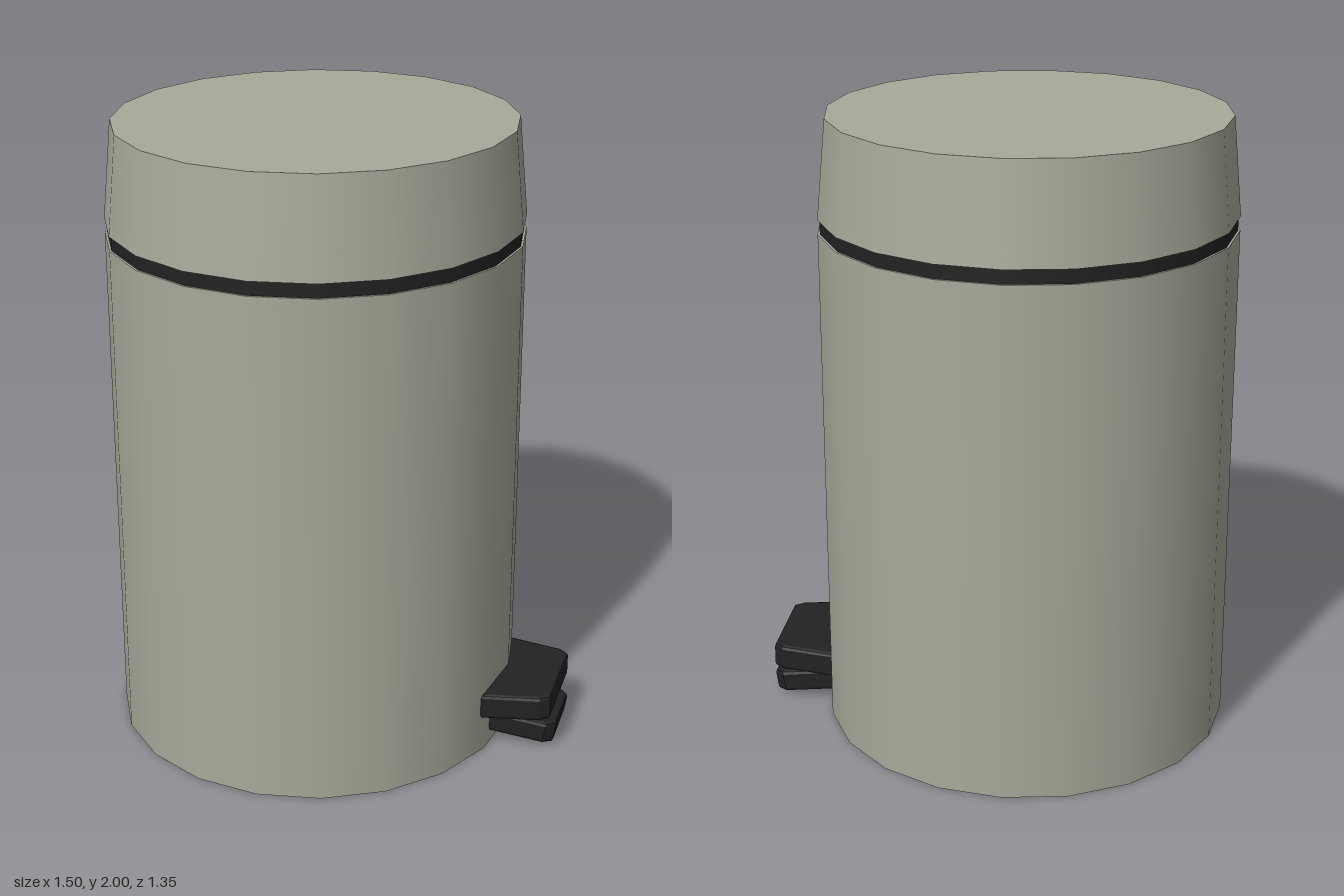
import * as THREE from 'three';

const SIDES = 20;
const CENTRE_X = -0.095;

export function createModel() {
  const model = new THREE.Group();
  model.name = 'pedalBin';

  const steel = new THREE.MeshStandardMaterial({ color: 0xa8aa9b });
  steel.name = 'warm grey metal';
  const rubber = new THREE.MeshStandardMaterial({ color: 0x222222 });
  rubber.name = 'black plastic';

  // A closed drum section, slightly narrower in x than in z
  function drum(name, rTop, rBottom, y0, y1, material) {
    const geometry = new THREE.CylinderGeometry(rTop, rBottom, y1 - y0, SIDES);
    geometry.scale(0.973, 1, 1);
    const mesh = new THREE.Mesh(geometry, material);
    mesh.name = name;
    mesh.position.set(CENTRE_X, (y0 + y1) / 2, 0);
    model.add(mesh);
  }

  drum('body', 0.673, 0.673, 0, 1.645, steel);
  drum('sealBand', 0.666, 0.666, 1.645, 1.695, rubber);
  drum('lid', 0.643, 0.673, 1.69, 2, steel);

  // A tapered plate with chamfered outer corners and softened edges
  function pedalPlate(name, length, rootHalf, shoulderHalf, tipHalf, chamfer, thickness) {
    const shape = new THREE.Shape([
      new THREE.Vector2(0, -rootHalf),
      new THREE.Vector2(length - chamfer, -shoulderHalf),
      new THREE.Vector2(length, -tipHalf),
      new THREE.Vector2(length, tipHalf),
      new THREE.Vector2(length - chamfer, shoulderHalf),
      new THREE.Vector2(0, rootHalf),
    ]);
    const bevel = 0.012;
    const geometry = new THREE.ExtrudeGeometry(shape, {
      depth: thickness - 2 * bevel,
      bevelThickness: bevel,
      bevelSize: bevel,
      bevelOffset: -bevel,
      bevelSegments: 2,
    });
    geometry.translate(0, 0, bevel);
    geometry.rotateX(-Math.PI / 2);
    const mesh = new THREE.Mesh(geometry, rubber);
    mesh.name = name;
    model.add(mesh);
    return mesh;
  }

  // Fixed guard above the pedal
  const guard = pedalPlate('pedalGuard', 0.215, 0.21, 0.175, 0.15, 0.03, 0.085);
  guard.position.set(0.52, 0.122, 0.022);

  // Foot pedal, tilted down towards its tip
  const pedal = pedalPlate('footPedal', 0.215, 0.14, 0.125, 0.1, 0.03, 0.075);
  pedal.position.set(0.525, 0.04, 0.022);
  pedal.rotation.z = -0.15;

  return model;
}
